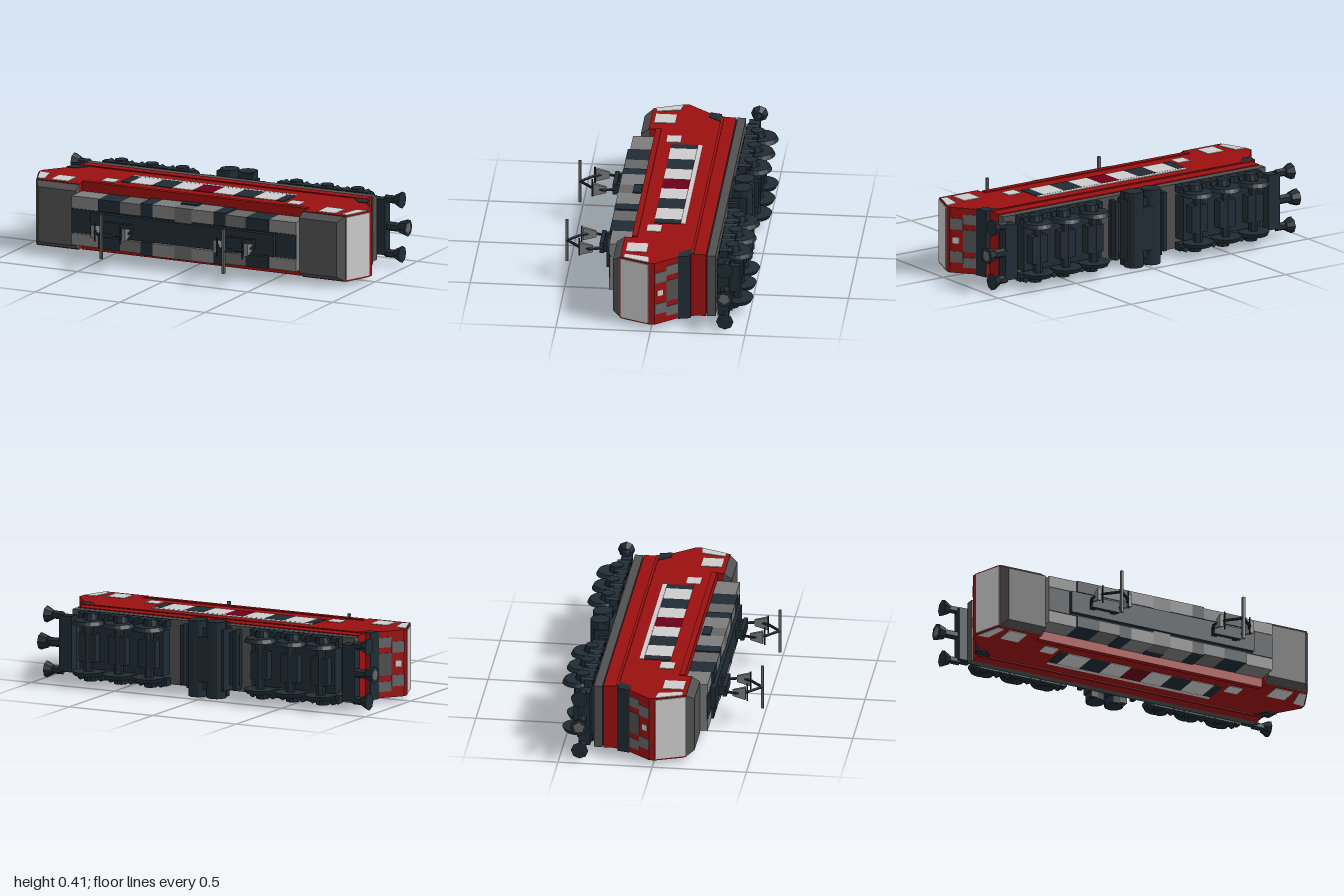
import * as THREE from 'three';

const mat = (color) => new THREE.MeshStandardMaterial({ color, flatShading: true });
const RED = mat(0x9a1010), DARK = mat(0x1f2b34), GREY = mat(0x666666), MID = mat(0x7c7c7c);
const LIGHT = mat(0xcccccc), MAROON = mat(0x6a0018), SLATE = mat(0x505050);

function add(parent, name, geo, material, x = 0, y = 0, z = 0) {
  const m = new THREE.Mesh(geo, material);
  m.name = name;
  m.position.set(x, y, z);
  parent.add(m);
  return m;
}

// box given by its limits along length (x), height (y) and width (z)
function block(parent, name, material, x0, x1, y0, y1, z0, z1) {
  return add(parent, name, new THREE.BoxGeometry(x1 - x0, y1 - y0, z1 - z0), material,
    (x0 + x1) / 2, (y0 + y1) / 2, (z0 + z1) / 2);
}

// side profile extruded symmetrically across the width
function slab(parent, name, material, pts, halfWidth) {
  const shape = new THREE.Shape(pts.map(([x, y]) => new THREE.Vector2(x, y)));
  const geo = new THREE.ExtrudeGeometry(shape, { depth: 2 * halfWidth, bevelEnabled: false });
  geo.translate(0, 0, -halfWidth);
  return add(parent, name, geo, material);
}

// thin panel lying on the sloped line a-b of an end face
function slopePanel(parent, name, material, a, b, t0, t1, z0, z1) {
  const dx = b[0] - a[0], dy = b[1] - a[1], len = Math.hypot(dx, dy), t = (t0 + t1) / 2;
  const m = add(parent, name, new THREE.BoxGeometry(len * (t1 - t0), 0.008, z1 - z0), material,
    a[0] + dx * t, a[1] + dy * t, (z0 + z1) / 2);
  m.rotation.z = Math.atan2(dy, dx);
  return m;
}

// straight rod between two points
function rod(parent, name, material, a, b, r) {
  const p = new THREE.Vector3(...a), q = new THREE.Vector3(...b), d = q.clone().sub(p);
  const m = add(parent, name, new THREE.CylinderGeometry(r, r, d.length(), 6), material);
  m.position.copy(p).add(q).multiplyScalar(0.5);
  m.quaternion.setFromUnitVectors(new THREE.Vector3(0, 1, 0), d.normalize());
}

const HW = 0.178;

function buildBody(loco) {
  const half = [[0.84, -0.28], [0.84, -0.2], [0.865, -0.2], [0.88, -0.135], [0.972, -0.02],
    [0.972, 0.01], [0.908, 0.168], [0.66, 0.168], [0.66, 0.13]];
  const left = half.map(([x, y]) => [-x, y]).reverse();
  slab(loco, 'bodyShell', RED, [...half, ...left], HW);
  block(loco, 'underframe', SLATE, -0.845, 0.845, -0.33, -0.285, -0.175, 0.175);
  block(loco, 'underframeCore', DARK, -0.83, 0.83, -0.29, -0.275, -0.17, 0.17);

  // side windows, trim and long rails
  const edges = [-0.48, -0.43, -0.3, -0.18, -0.06, 0.06, 0.18, 0.3, 0.43, 0.48];
  const fills = [DARK, LIGHT, DARK, LIGHT, MAROON, LIGHT, DARK, LIGHT, DARK];
  for (const s of [-1, 1]) {
    const side = new THREE.Group();
    side.name = s > 0 ? 'sideTrimA' : 'sideTrimB';
    loco.add(side);
    const zc = [s * HW - 0.003, s * HW + 0.003];
    fills.forEach((f, i) => block(side, 'sideWindow', f, edges[i], edges[i + 1], -0.11, 0.03, ...zc));
    block(side, 'windowTrim', LIGHT, -0.48, 0.48, -0.135, -0.112, ...zc);
    block(side, 'sideRail', RED, -0.66, 0.66, 0.1, 0.13, s * HW - 0.006, s * HW + 0.006);
    block(side, 'sideRail', RED, -0.84, 0.84, -0.215, -0.2, s * HW - 0.004, s * HW + 0.004);
    for (const e of [-1, 1]) {
      const w = (n, m, a, b, y0, y1) =>
        block(side, n, m, Math.min(e * a, e * b), Math.max(e * a, e * b), y0, y1, ...zc);
      w('cabWindow', LIGHT, 0.735, 0.84, 0.035, 0.145);
      w('smallWindow', LIGHT, 0.505, 0.585, -0.015, 0.06);
      const pane = e > 0 ? [[0.872, 0.145], [0.9, 0.02], [0.965, 0.012], [0.912, 0.15]]
        : [[-0.872, 0.145], [-0.9, 0.02], [-0.965, 0.012], [-0.912, 0.15]];
      const geo = new THREE.ExtrudeGeometry(new THREE.Shape(pane.map((p) => new THREE.Vector2(...p))),
        { depth: 0.006, bevelEnabled: false });
      add(side, 'cornerPane', geo, LIGHT, 0, 0, zc[0]);
    }
  }
}

// cab end, built towards +x
function buildEnd(end) {
  const lowA = [0.88, -0.135], lowB = [0.972, -0.02];
  slopePanel(end, 'windscreen', LIGHT, [0.972, 0.012], [0.908, 0.168], 0, 0.97, -0.17, 0.17);
  slab(end, 'darkBand', DARK, [[0.78, -0.2], [0.868, -0.2], [0.884, -0.135], [0.83, -0.135]], 0.181);
  slopePanel(end, 'centreVent', SLATE, lowA, lowB, 0.02, 0.5, -0.06, 0.06);
  slopePanel(end, 'numberPlate', LIGHT, lowA, lowB, 0.65, 0.9, -0.016, 0.016);
  for (const s of [-1, 1]) {
    slopePanel(end, 'headlamp', GREY, lowA, lowB, 0.52, 1, s * 0.09 - 0.03, s * 0.09 + 0.03);
    slopePanel(end, 'lowerLamp', GREY, lowA, lowB, 0.02, 0.5, s * 0.118 - 0.027, s * 0.118 + 0.027);
  }

  // cab roof: box narrowed towards its top
  const roof = new THREE.BoxGeometry(0.25, 0.042, 0.35);
  const p = roof.attributes.position;
  for (let i = 0; i < p.count; i++) {
    if (p.getY(i) < 0) continue;
    p.setZ(i, p.getZ(i) * 0.85);
    if (p.getX(i) > 0) p.setX(i, p.getX(i) - 0.03);
  }
  add(end, 'cabRoof', roof, SLATE, 0.783, 0.188, 0);

  // buffers and coupler
  block(end, 'bufferBeam', DARK, 0.81, 0.885, -0.405, -0.345, -0.15, 0.15);
  for (const s of [-1, 1]) {
    rod(end, 'bufferStem', DARK, [0.87, -0.385, s * 0.147], [0.94, -0.385, s * 0.147], 0.022);
    const cup = add(end, 'bufferHead', new THREE.CylinderGeometry(0.046, 0.025, 0.04, 8), DARK,
      0.945, -0.39, s * 0.147);
    cup.rotation.z = -Math.PI / 2;
  }
  rod(end, 'couplerStem', DARK, [0.87, -0.385, 0], [0.96, -0.385, 0], 0.025);
  const head = add(end, 'couplerHead', new THREE.CylinderGeometry(0.047, 0.032, 0.045, 8), DARK, 0.977, -0.39, 0);
  head.rotation.z = -Math.PI / 2;
  const face = add(end, 'couplerFace', new THREE.CylinderGeometry(0.03, 0.03, 0.004, 5), GREY, 0.998, -0.39, 0);
  face.rotation.z = -Math.PI / 2;
}

function buildRoof(loco) {
  const roof = new THREE.Group();
  roof.name = 'roofEquipment';
  loco.add(roof);
  block(roof, 'roofBase', MID, -0.66, 0.66, 0.125, 0.245, -0.125, 0.125);
  block(roof, 'roofCatwalk', DARK, -0.66, 0.66, 0.24, 0.25, -0.065, 0.065);
  block(roof, 'roofRidge', DARK, -0.54, 0.54, 0.24, 0.277, -0.06, 0.06);
  const cells = [[0.05, 0.18, MID], [0.18, 0.25, DARK], [0.25, 0.37, GREY], [0.37, 0.5, DARK], [0.5, 0.66, MID]];
  for (const e of [-1, 1]) for (const [a, b, m] of cells) {
    const w = a < 0.25 ? 0.14 : 0.133;
    for (const s of [-1, 1])
      block(roof, 'roofCowl', m, Math.min(e * a, e * b), Math.max(e * a, e * b), 0.13, a < 0.5 ? 0.262 : 0.25,
        Math.min(s * 0.07, s * w), Math.max(s * 0.07, s * w));
  }
  block(roof, 'centreCowl', GREY, -0.05, 0.05, 0.13, 0.262, -0.14, 0.14);
  for (const s of [-1, 1]) block(roof, 'centreHatch', DARK, -0.05, 0.05, 0.14, 0.185, s * 0.143 - 0.004, s * 0.143 + 0.004);
}

function buildPantograph(loco, x) {
  const g = new THREE.Group();
  g.name = 'pantograph';
  g.position.x = x;
  loco.add(g);
  block(g, 'pantographBase', DARK, -0.08, 0.08, 0.3, 0.322, -0.03, 0.03);
  const arm = [[0.08, 0.31], [0.098, 0.375], [0.07, 0.435], [0, 0.5]];
  for (const e of [-1, 1]) {
    block(g, 'insulator', DARK, e * 0.06 - 0.014, e * 0.06 + 0.014, 0.27, 0.31, -0.025, 0.025);
    for (let i = 0; i < 3; i++) {
      const [ax, ay] = arm[i], [bx, by] = arm[i + 1];
      rod(g, 'pantographArm', DARK, [e * ax, ay, 0], [e * bx, by, 0], 0.008);
    }
    // tapered knee brace
    const brace = add(g, 'kneeBrace', new THREE.CylinderGeometry(0.05, 0.025, 0.07, 4, 1), MID, e * 0.09, 0.39, 0);
    brace.geometry.rotateY(Math.PI / 4);
    brace.scale.x = 0.3;
    rod(g, 'kneeRod', DARK, [e * 0.075, 0.43, -0.05], [e * 0.075, 0.43, 0.05], 0.004);
  }
  block(g, 'contactStrip', GREY, -0.007, 0.007, 0.495, 0.51, -0.12, 0.12);
}

function buildBogie(loco, x) {
  const g = new THREE.Group();
  g.name = 'bogie';
  g.position.x = x;
  loco.add(g);
  block(g, 'bogieCore', DARK, -0.25, 0.25, -0.4, -0.33, -0.12, 0.12);
  for (const s of [-1, 1]) block(g, 'sideFrame', DARK, -0.265, 0.265, -0.39, -0.345, s * 0.157 - 0.02, s * 0.157 + 0.02);
  for (const dx of [-0.18, 0, 0.18]) {
    rod(g, 'axle', DARK, [dx, -0.43, -0.15], [dx, -0.43, 0.15], 0.025);
    block(g, 'tractionMotor', DARK, dx - 0.05, dx + 0.05, -0.45, -0.37, -0.075, 0.075);
    for (const s of [-1, 1]) {
      const wheel = add(g, 'wheel', new THREE.CylinderGeometry(0.075, 0.086, 0.022, 20), DARK, dx, -0.43, s * 0.137);
      wheel.rotation.x = s * Math.PI / 2;
      const hub = add(g, 'axleBox', new THREE.CylinderGeometry(0.035, 0.042, 0.034, 10), DARK, dx, -0.405, s * 0.165);
      hub.rotation.x = s * Math.PI / 2;
      for (const e of [-1, 1]) rod(g, 'spring', DARK, [dx + e * 0.06, -0.41, s * 0.165], [dx + e * 0.06, -0.34, s * 0.165], 0.017);
    }
  }
}

function buildTank(loco) {
  const g = new THREE.Group();
  g.name = 'centreTank';
  loco.add(g);
  block(g, 'tankBody', DARK, -0.11, 0.11, -0.425, -0.33, -0.165, 0.165);
  block(g, 'tankSump', DARK, -0.07, 0.07, -0.445, -0.42, -0.12, 0.12);
  for (const e of [-1, 1]) {
    block(g, 'tankBracket', DARK, e * 0.14 - 0.03, e * 0.14 + 0.03, -0.355, -0.33, -0.14, 0.14);
    block(g, 'tankStep', DARK, e * 0.155 - 0.012, e * 0.155 + 0.012, -0.39, -0.33, -0.16, 0.16);
    const cyl = add(g, 'airReservoir', new THREE.CylinderGeometry(0.052, 0.052, 0.41, 12), DARK, e * 0.055, -0.398, 0);
    cyl.rotation.x = Math.PI / 2;
    for (const s of [-1, 1]) block(g, 'tankLug', DARK, e * 0.085 - 0.02, e * 0.085 + 0.02, -0.375, -0.345, s * 0.18 - 0.02, s * 0.18 + 0.02);
  }
}

export function createModel() {
  const root = new THREE.Group();
  root.name = 'locomotive';
  // built upright, then laid on its side with the roof facing +z
  const loco = new THREE.Group();
  loco.name = 'locomotiveOnSide';
  loco.rotation.x = Math.PI / 2;
  loco.position.y = 0.205;
  root.add(loco);
  buildBody(loco);
  buildRoof(loco);
  buildTank(loco);
  for (const s of [-1, 1]) {
    const end = new THREE.Group();
    end.name = s > 0 ? 'leftCabEnd' : 'rightCabEnd';
    end.rotation.y = s > 0 ? 0 : Math.PI;
    loco.add(end);
    buildEnd(end);
    buildPantograph(loco, s * 0.36);
    buildBogie(loco, s * 0.515);
  }
  return root;
}
